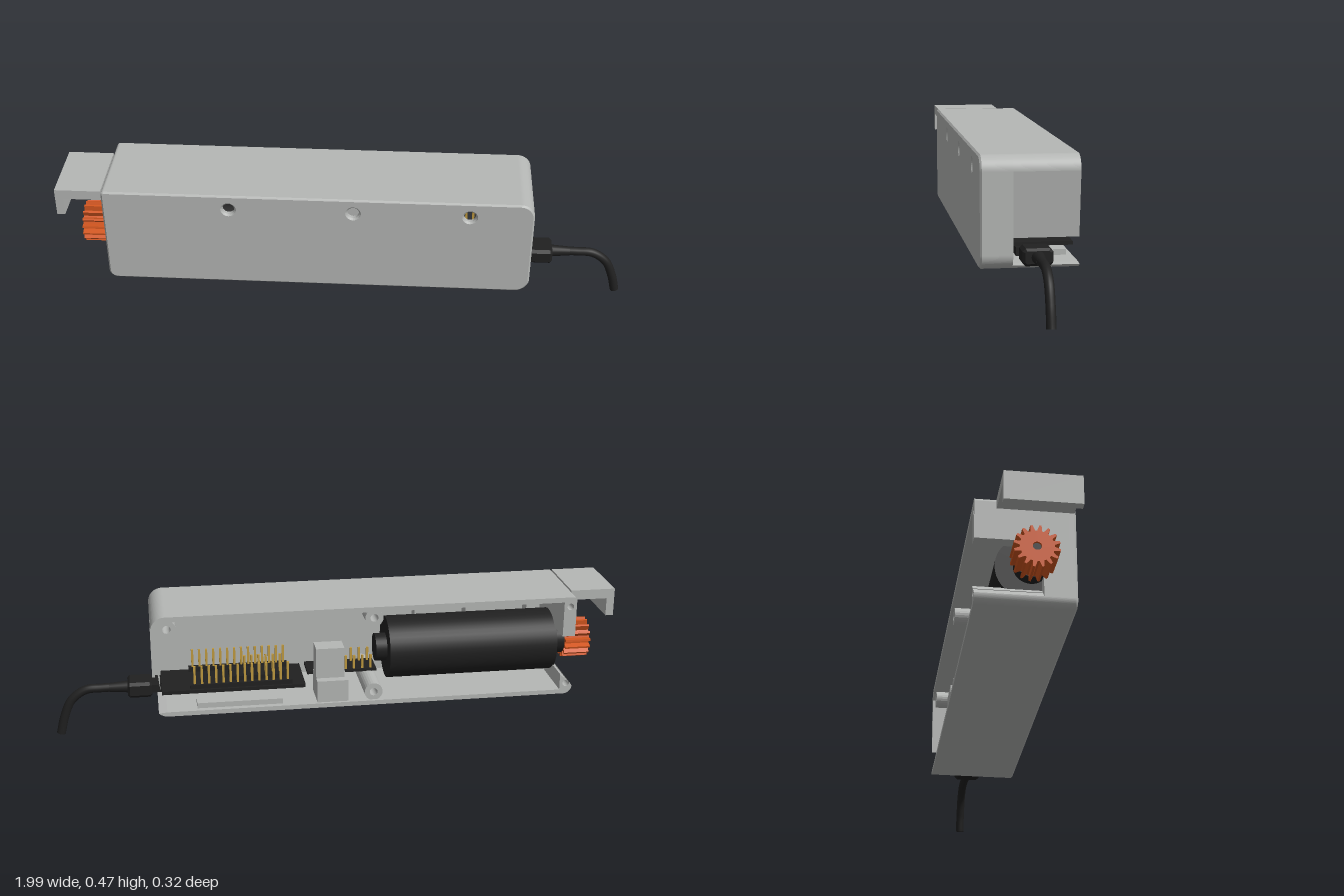
import * as THREE from 'three';

const mat = (name, color) => Object.assign(new THREE.MeshStandardMaterial({ color }), { name });

export function createModel() {
  const model = new THREE.Group();
  const shell = mat('shell grey', 0xb5b7b5);
  const black = mat('black plastic', 0x202020);
  const orange = mat('orange gear', 0xd2561f);
  const gold = mat('gold pins', 0xc09a40);

  const add = (name, geo, material, x = 0, y = 0, z = 0) => {
    const mesh = new THREE.Mesh(geo, material);
    mesh.name = name;
    mesh.position.set(x, y, z);
    model.add(mesh);
    return mesh;
  };
  // box given by its limits on each axis
  const box = (name, material, x0, x1, y0, y1, z0, z1) =>
    add(name, new THREE.BoxGeometry(x1 - x0, y1 - y0, z1 - z0), material,
      (x0 + x1) / 2, (y0 + y1) / 2, (z0 + z1) / 2);
  const slab = (name, shape, z0, z1, material = shell) =>
    add(name, new THREE.ExtrudeGeometry(shape, { depth: z1 - z0, bevelEnabled: false, curveSegments: 12 }),
      material, 0, 0, z0);
  const circle = (x, y, r) => new THREE.Path().absarc(x, y, r, 0, Math.PI * 2, true);
  // cylinder along x
  const rod = (name, material, x0, x1, y, z, r, sides = 32) =>
    add(name, new THREE.CylinderGeometry(r, r, x1 - x0, sides).rotateZ(Math.PI / 2), material, (x0 + x1) / 2, y, z);

  // Case outline, with larger corners on the cable end
  const H = Math.PI / 2, L = -0.84, R = 0.65, B = 0.115, T = 0.48;
  const outline = (d = 0) => {
    const s = new THREE.Shape();
    s.absarc(R - 0.05, B + 0.05, 0.05 - d, -H, 0);
    s.absarc(R - 0.05, T - 0.05, 0.05 - d, 0, H);
    s.absarc(L + 0.012, T - 0.012, 0.012 - d, H, 2 * H);
    s.absarc(L + 0.03, B + 0.03, 0.03 - d, 2 * H, 3 * H);
    return s;
  };
  const iL = -0.795, iR = 0.625, iB = 0.131, iT = 0.462;

  // Front wall with three through holes and a chamfered edge
  const front = outline(0.006);
  for (const x of [-0.4, 0.03, 0.43]) front.holes.push(circle(x, 0.425, 0.027));
  add('frontWall', new THREE.ExtrudeGeometry(front, {
    depth: 0.013, bevelThickness: 0.006, bevelSize: 0.006, bevelSegments: 1, curveSegments: 12,
  }), shell, 0, 0, 0.141);

  // Closed part of the side walls
  const ring = outline();
  ring.holes.push(new THREE.Path([[iL, iB], [iL, iT], [iR - 0.02, iT], [iR, iT - 0.02], [iR, iB + 0.02], [iR - 0.02, iB]]
    .map(p => new THREE.Vector2(...p))));
  slab('sideWalls', ring, 0.055, 0.136);

  // Open part of the side walls, cut for the cable and the motor
  const upper = new THREE.Shape();
  upper.moveTo(R, 0.215);
  upper.absarc(R - 0.05, T - 0.05, 0.05, 0, H);
  upper.absarc(L + 0.012, T - 0.012, 0.012, H, 2 * H);
  upper.lineTo(L, 0.335).lineTo(iL, 0.335).lineTo(iL, iT).lineTo(iR - 0.02, iT)
    .lineTo(iR, iT - 0.02).lineTo(iR, 0.215);
  upper.holes.push(circle(-0.818, 0.445, 0.012));
  slab('upperWalls', upper, -0.16, 0.055);

  const lower = new THREE.Shape();
  lower.moveTo(L, 0.19);
  lower.absarc(L + 0.03, B + 0.03, 0.03, 2 * H, 3 * H);
  lower.absarc(R - 0.05, B + 0.05, 0.05, -H, -0.82);
  lower.lineTo(iR - 0.02, iB).lineTo(iL, iB).lineTo(iL, 0.19);
  lower.holes.push(circle(-0.818, 0.155, 0.012));
  slab('lowerWalls', lower, -0.16, 0.055);
  // Bridge to the chamfered front wall
  slab('frontSeam', ring, 0.136, 0.141);

  // Screw bosses
  for (const [x, y] of [[-0.12, 0.437], [-0.12, 0.16], [0.595, 0.432]]) {
    const s = new THREE.Shape().absarc(x, y, 0.032, 0, Math.PI * 2);
    s.holes.push(circle(x, y, 0.014));
    slab('screwBoss', s, -0.15, 0.136);
  }

  // Hook over the gear
  const hook = new THREE.Shape([[L, 0.445], [L, T], [-1, T], [-1, 0.38], [-0.972, 0.38], [-0.972, 0.445]]
    .map(p => new THREE.Vector2(...p)));
  slab('gearHook', hook, -0.09, 0.155);

  // Ribs along the motor, and the block that holds the circuit board
  for (const x of [-0.32, -0.51, -0.74]) box('motorRib', shell, x - 0.012, x + 0.012, iB, 0.38, 0.08, 0.136);
  box('boardStopBase', shell, -0.03, 0.08, iB, 0.21, -0.15, -0.03);
  box('boardStop', shell, -0.02, 0.08, 0.21, 0.32, -0.12, -0.05);
  box('boardShelf', shell, 0.2, 0.5, iB, 0.15, -0.14, -0.07);

  // Motor, shaft and gear
  const my = 0.262, mz = 0.02;
  rod('motor', black, -0.8, -0.19, my, mz, 0.112, 40);
  rod('motorCollar', black, -0.845, -0.8, my, mz, 0.055);
  rod('motorTail', black, -0.19, -0.15, my, mz, 0.05);
  const teeth = 16, gear = new THREE.Shape();
  for (let i = 0; i < teeth; i++) {
    [[0, 0.053], [0.3, 0.053], [0.5, 0.072], [0.75, 0.072]].forEach(([f, r], k) => {
      const a = (i + f) / teeth * Math.PI * 2;
      gear[i + k ? 'lineTo' : 'moveTo'](r * Math.cos(a), r * Math.sin(a));
    });
  }
  gear.holes.push(circle(0, 0, 0.014));
  add('gear', new THREE.ExtrudeGeometry(gear, { depth: 0.092, bevelEnabled: false }).rotateY(-H),
    orange, -0.845, my, mz);
  rod('shaft', black, -0.93, -0.84, my, mz, 0.014, 16);

  // Circuit board with headers and pins
  box('circuitBoard', black, 0.12, 0.62, 0.188, 0.2, -0.14, 0.055);
  box('chip', black, 0.2, 0.38, 0.2, 0.215, -0.07, 0.025);
  box('socket', black, 0.55, 0.64, 0.16, 0.188, -0.04, 0.045);
  const pins = (x0, z, count) => {
    box('pinHeader', black, x0 - 0.014, x0 + count * 0.025 - 0.01, 0.2, 0.215, z - 0.012, z + 0.012);
    for (let i = 0; i < count; i++) {
      const x = x0 + i * 0.025;
      box('pin', gold, x - 0.004, x + 0.004, 0.205, 0.28, z - 0.004, z + 0.004);
    }
  };
  pins(0.18, -0.118, 14);
  pins(0.18, 0.042, 14);
  pins(0.2, -0.04, 6);

  // Small driver board between motor and circuit board
  box('driverBoard', black, -0.15, 0.1, 0.19, 0.2, -0.03, 0.07);
  for (const z of [-0.02, 0.055])
    for (let i = 0; i < 5; i++) {
      const x = -0.13 + i * 0.03;
      box('driverPin', gold, x - 0.004, x + 0.004, 0.2, 0.25, z - 0.004, z + 0.004);
    }

  // Cable plug: bevelled block
  const cz = -0.01, cy = 0.174;
  const plug = new THREE.Shape([[-0.048, -0.018], [-0.038, -0.028], [0.038, -0.028], [0.048, -0.018],
    [0.048, 0.018], [0.038, 0.028], [-0.038, 0.028], [-0.048, 0.018]].map(p => new THREE.Vector2(...p)));
  add('plug', new THREE.ExtrudeGeometry(plug, {
    depth: 0.07, bevelThickness: 0.008, bevelSize: 0.008, bevelOffset: -0.008, bevelSegments: 1,
  }).rotateY(H), black, 0.66, cy, cz);
  box('plugTip', black, 0.6, 0.66, cy - 0.014, cy + 0.014, cz - 0.035, cz + 0.035);
  add('strainRelief', new THREE.CylinderGeometry(0.016, 0.021, 0.065, 20).rotateZ(-H), black, 0.77, cy, cz);

  // Cable bending down to the ground
  const path = new THREE.CatmullRomCurve3([[0.74, cy], [0.83, cy], [0.885, 0.17], [0.935, 0.135], [0.963, 0.075], [0.98, 0.01]]
    .map(([x, y]) => new THREE.Vector3(x, y, cz)));
  add('cable', new THREE.TubeGeometry(path, 40, 0.0155, 16), black);
  const end = add('cableEnd', new THREE.CircleGeometry(0.0155, 16), black, 0.98, 0.01, cz);
  end.quaternion.setFromUnitVectors(new THREE.Vector3(0, 0, 1), path.getTangent(1));

  return model;
}
